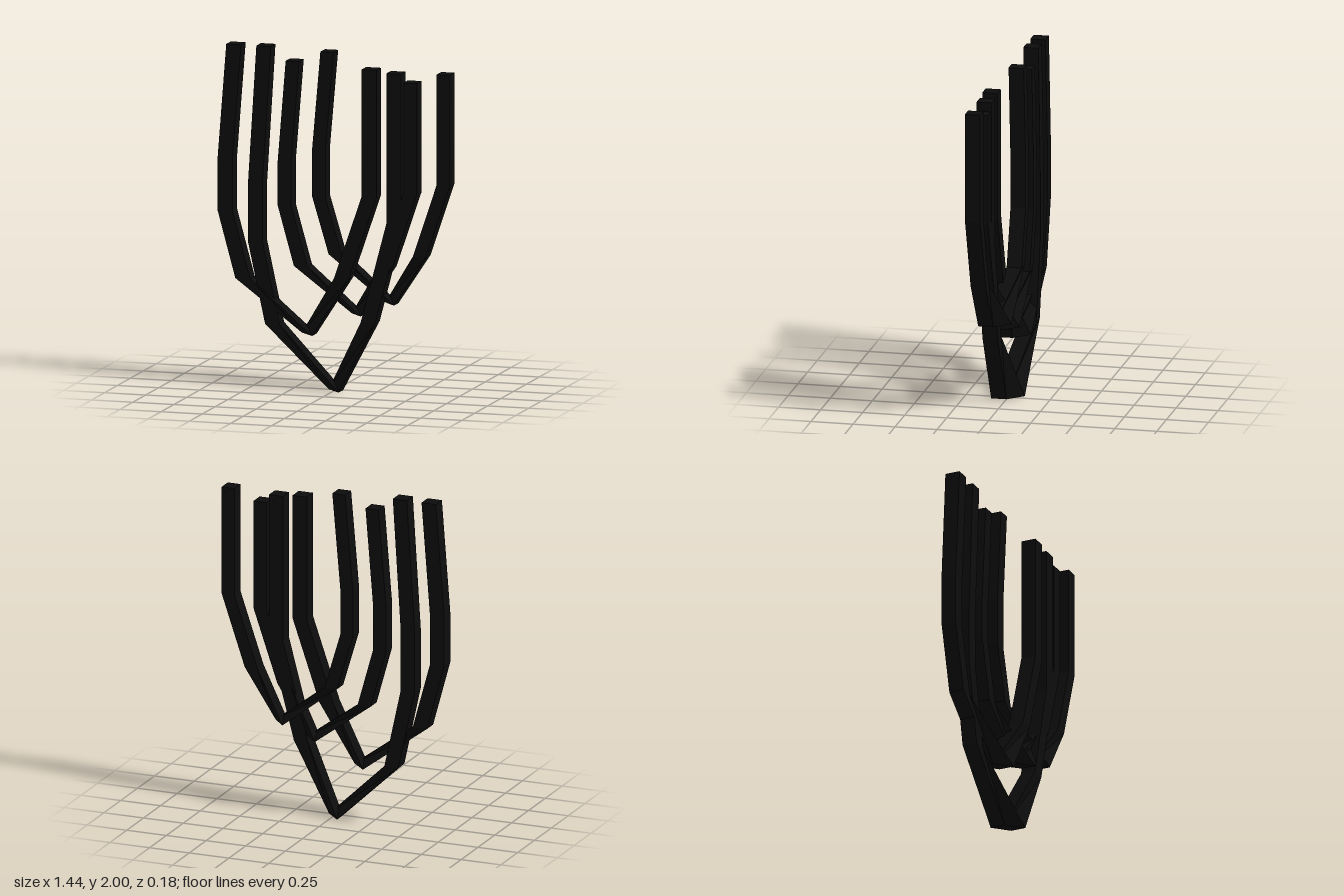
import * as THREE from 'three';

const DEPTH = 0.09;

// Each fork: width of the bar, its foot, and the joints of both arms from bottom to top, as [centre x, y].
const FORKS = [
  { width: 0.088, foot: [0, 0],
    left: [[-0.387, 0.365], [-0.49, 0.84], [-0.49, 1.2], [-0.44, 2]],
    right: [[0.222, 0.42], [0.378, 1.01], [0.378, 1.895]] },
  { width: 0.09, foot: [-0.162, 0.325],
    left: [[-0.567, 0.625], [-0.675, 1.02], [-0.675, 1.32], [-0.622, 2]],
    right: [[0.06, 0.67], [0.228, 1.16], [0.228, 1.91]] },
  { width: 0.082, foot: [0.137, 0.455],
    left: [[-0.215, 0.715], [-0.313, 1.065], [-0.313, 1.33], [-0.265, 1.92]],
    right: [[0.328, 0.75], [0.478, 1.19], [0.478, 1.845]] },
  { width: 0.08, foot: [0.34, 0.53],
    left: [[-0.005, 0.795], [-0.105, 1.13], [-0.105, 1.41], [-0.055, 1.985]],
    right: [[0.535, 0.825], [0.68, 1.255], [0.68, 1.905]] },
];

// Horizontal four-cornered section; shear slides its right edge forward.
function section([x, y], width, back, shear = 0) {
  const h = width / 2;
  return [
    [x - h, y, back + DEPTH], [x + h, y, back + DEPTH + shear],
    [x + h, y, back + shear], [x - h, y, back],
  ];
}

// Skin a bar through its sections from bottom to top, closed at both ends.
function loft(rings) {
  const pos = [];
  const quad = (a, b, c, d) => pos.push(...a, ...b, ...c, ...a, ...c, ...d);
  for (let i = 0; i + 1 < rings.length; i++) {
    for (let k = 0; k < 4; k++) {
      const n = (k + 1) % 4;
      quad(rings[i][k], rings[i][n], rings[i + 1][n], rings[i + 1][k]);
    }
  }
  quad(...rings[rings.length - 1]);
  quad(...[...rings[0]].reverse());
  const geometry = new THREE.BufferGeometry();
  geometry.setAttribute('position', new THREE.Float32BufferAttribute(pos, 3));
  geometry.computeVertexNormals();
  return geometry;
}

export function createModel() {
  const model = new THREE.Group();
  model.name = 'nestedForks';
  const material = new THREE.MeshStandardMaterial({ color: 0x0d0d0d, flatShading: true });

  FORKS.forEach(({ width, foot, left, right }, i) => {
    const fork = new THREE.Group();
    fork.name = `fork${i + 1}`;
    // Both arms share the sheared foot; the right arm (seen from the front) runs before the left one.
    const base = section(foot, width, -DEPTH, DEPTH);
    for (const [name, joints, back] of [['backArm', left, -DEPTH], ['frontArm', right, 0]]) {
      const arm = new THREE.Mesh(loft([base, ...joints.map((j) => section(j, width, back))]), material);
      arm.name = name;
      fork.add(arm);
    }
    model.add(fork);
  });
  return model;
}
